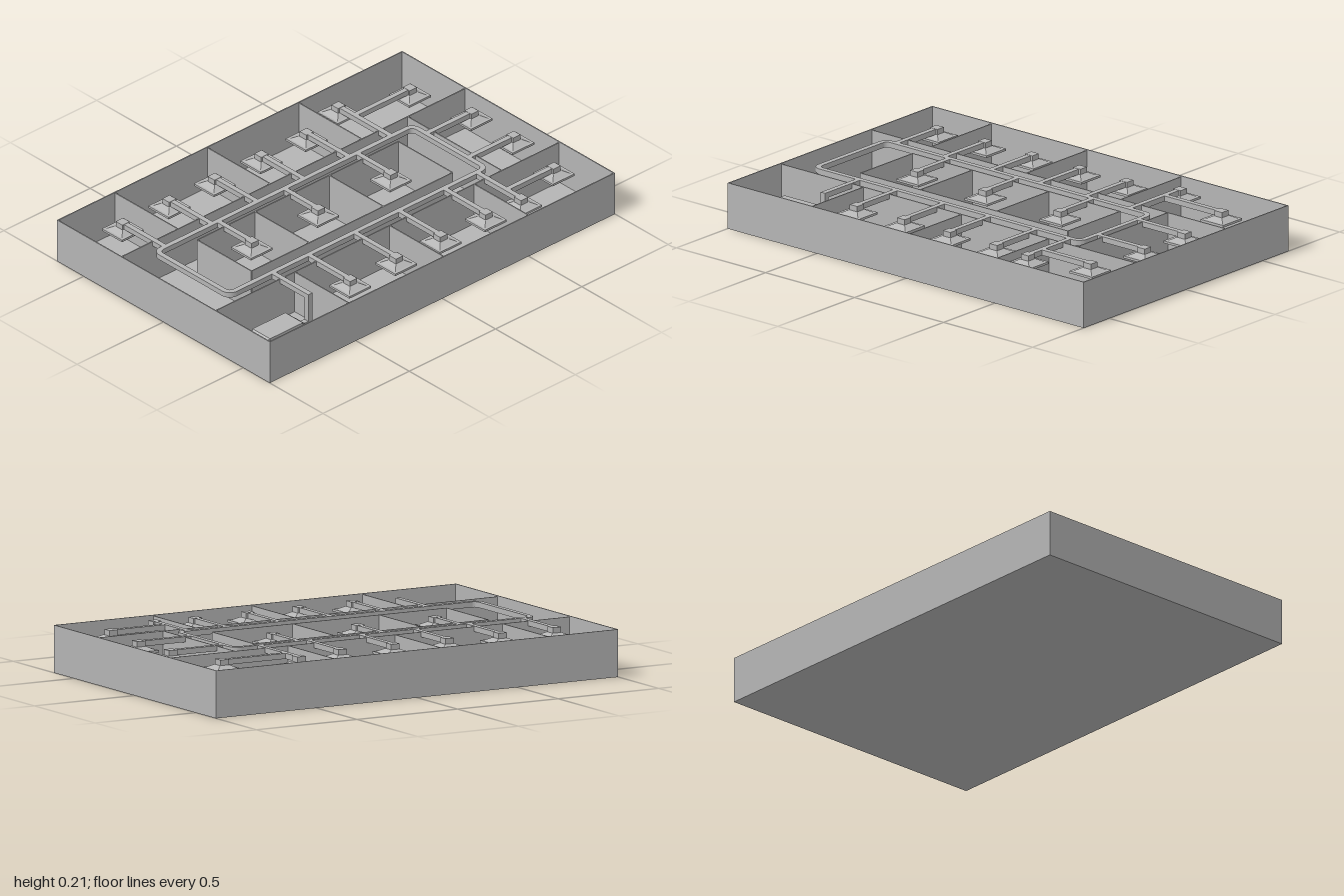
import * as THREE from 'three';

const grey = new THREE.MeshStandardMaterial({ color: 0xb4b4b4, flatShading: true });
grey.name = 'plain grey';

const DUCT = 0.024;        // duct width and height
const DUCT_Y = 0.193;      // duct centre line
const WALL = 0.005;        // wall thickness
const UNIT = { y: 0.06, z: 0.487 };

function add(parent, name, geometry, x = 0, y = 0, z = 0) {
  const mesh = new THREE.Mesh(geometry, grey);
  mesh.name = name;
  mesh.position.set(x, y, z);
  parent.add(mesh);
  return mesh;
}

// Axis-aligned box given by its two extreme corners
function span(parent, name, x0, x1, y0, y1, z0, z1) {
  return add(parent, name, new THREE.BoxGeometry(x1 - x0, y1 - y0, z1 - z0),
    (x0 + x1) / 2, (y0 + y1) / 2, (z0 + z1) / 2);
}

// Square frustum with its faces along the axes
function frustum(top, bottom, height) {
  return new THREE.CylinderGeometry(top / Math.SQRT2, bottom / Math.SQRT2, height, 4)
    .rotateY(Math.PI / 4);
}

// Horizontal duct between two points on one axis
function duct(parent, name, xa, za, xb, zb, y = DUCT_Y) {
  const h = DUCT / 2, alongX = za === zb;
  const px = alongX ? 0 : h, pz = alongX ? h : 0;
  span(parent, name, Math.min(xa, xb) - px, Math.max(xa, xb) + px, y - h, y + h,
    Math.min(za, zb) - pz, Math.max(za, zb) + pz);
}

function roundedRect(target, x0, x1, y0, y1, r) {
  target.moveTo(x0 + r, y0);
  target.lineTo(x1 - r, y0);
  target.absarc(x1 - r, y0 + r, r, -Math.PI / 2, 0);
  target.lineTo(x1, y1 - r);
  target.absarc(x1 - r, y1 - r, r, 0, Math.PI / 2);
  target.lineTo(x0 + r, y1);
  target.absarc(x0 + r, y1 - r, r, Math.PI / 2, Math.PI);
  target.lineTo(x0, y0 + r);
  target.absarc(x0 + r, y0 + r, r, Math.PI, Math.PI * 1.5);
  return target;
}

// Ceiling diffuser: flat plate, sloped hood and square neck
function diffuser(parent, x, z) {
  const g = new THREE.Group();
  g.name = 'diffuser';
  g.position.set(x, 0, z);
  add(g, 'diffuserPlate', new THREE.BoxGeometry(0.126, 0.01, 0.126), 0, 0.163, 0);
  add(g, 'diffuserHood', frustum(0.05, 0.104, 0.014), 0, 0.175, 0);
  add(g, 'diffuserNeck', new THREE.BoxGeometry(0.042, 0.027, 0.042), 0, 0.1925, 0);
  parent.add(g);
}

export function createModel() {
  const model = new THREE.Group();
  model.name = 'ductedBuilding';

  // Floor and outer walls
  const shell = new THREE.Group();
  shell.name = 'buildingShell';
  model.add(shell);
  const X = 1, Z = 0.667, H = 0.206;
  span(shell, 'floor', -X, X, 0, 0.004, -Z, Z);
  for (const s of [-1, 1]) {
    add(shell, 'sideWall', new THREE.BoxGeometry(WALL, H, 2 * Z), s * (X - WALL / 2), H / 2, 0);
    add(shell, 'longWall', new THREE.BoxGeometry(2 * X, H, WALL), 0, H / 2, s * (Z - WALL / 2));
  }

  // Inner walls along x: [z, x start, x end]
  const t = WALL / 2, top = 0.202;
  for (const [z, a, b] of [[-0.27, -1, 1], [0.32, -1, 1], [-0.15, -0.665, 0.5], [0.19, -0.665, 0.5]]) {
    span(shell, 'partition', a, b, 0, top, z - t, z + t);
  }
  // Inner walls along z: [z start, z end, x positions]
  for (const [a, b, xs] of [
    [-0.667, -0.27, [-0.665, -0.13, 0.4]],
    [-0.27, 0.32, [0.665]],
    [-0.15, 0.19, [-0.665, -0.33, 0.1, 0.5]],
    [0.32, 0.667, [-0.535, 0.015, 0.505]],
  ]) {
    for (const x of xs) span(shell, 'crossPartition', x - t, x + t, 0, top, a, b);
  }

  // Main duct loop
  const ducts = new THREE.Group();
  ducts.name = 'ductwork';
  model.add(ducts);
  const loop = roundedRect(new THREE.Shape(), -0.87, 0.64, -0.272, 0.212, 0.045);
  loop.holes.push(roundedRect(new THREE.Path(), -0.87 + DUCT, 0.64 - DUCT, -0.272 + DUCT, 0.212 - DUCT, 0.021));
  const ring = new THREE.ExtrudeGeometry(loop, { depth: DUCT, bevelEnabled: false, curveSegments: 6 });
  add(ducts, 'mainDuctLoop', ring.rotateX(-Math.PI / 2), 0, DUCT_Y - DUCT / 2, 0);

  // Branches across the loop's long sides: [x, z of diffuser, z of loop side]
  const back = -0.2, front = 0.26, right = 0.628;
  const branches = [
    ...[-0.803, -0.533, -0.27, 0, 0.262].map((x) => [x, -0.468, back]),
    [0.506, -0.533, back],
    ...[-0.5, -0.115, 0.305].map((x) => [x, 0.013, back]),
    ...[-0.4, -0.134, 0.123, 0.385].map((x) => [x, 0.522, front]),
    [0.575, 0.538, front],
  ];
  for (const [x, z, from] of branches) {
    duct(ducts, 'branchDuct', x, from, x, z);
    diffuser(ducts, x, z);
  }
  // Branches running to the right: [x of diffuser, z, x start]
  for (const [x, z, from] of [
    [0.827, -0.431, 0.506], [0.892, -0.115, right], [0.892, 0.147, right], [0.848, 0.447, 0.575],
  ]) {
    duct(ducts, 'sideBranchDuct', from, z, x, z);
    diffuser(ducts, x, z);
  }

  // Air handling unit with tapered ends, inlet and riser
  const unit = new THREE.Group();
  unit.name = 'airUnit';
  model.add(unit);
  const { y, z } = UNIT, h = DUCT / 2, rx = -0.61;
  span(unit, 'unitBody', -0.883, -0.693, y - 0.055, y + 0.055, z - 0.055, z + 0.055);
  add(unit, 'inletTaper', frustum(0.048, 0.11, 0.04).rotateZ(Math.PI / 2), -0.903, y, z);
  add(unit, 'outletTaper', frustum(0.048, 0.11, 0.037).rotateZ(-Math.PI / 2), -0.6745, y, z);
  duct(unit, 'inletDuct', -0.977, z, -0.92, z, y);
  duct(unit, 'outletDuct', -0.66, z, rx - h, z, y);
  span(unit, 'riserDuct', rx - h, rx + h, y - h, DUCT_Y + h, z - h, z + h);
  duct(unit, 'supplyDuct', rx, front, rx, z - h);

  return model;
}
